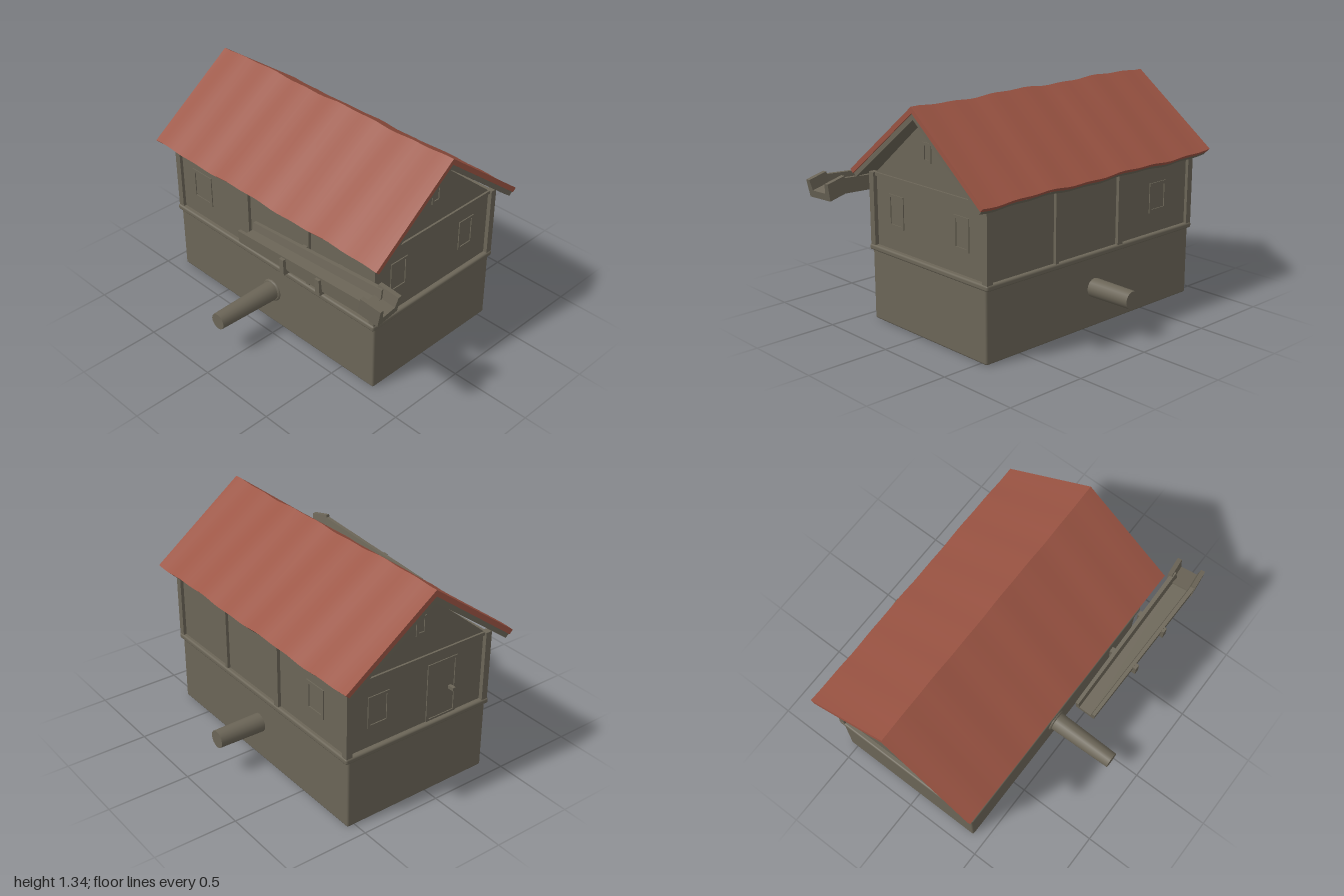
import * as THREE from 'three';
import { toCreasedNormals } from 'three/addons/utils/BufferGeometryUtils.js';
import { RoundedBoxGeometry } from 'three/addons/geometries/RoundedBoxGeometry.js';

const timber = new THREE.MeshStandardMaterial({ color: 0x6b6557 });
timber.name = 'weathered timber';
const tile = new THREE.MeshStandardMaterial({ color: 0x9b5443 });
tile.name = 'red roof';

const CX = -0.08, CZ = -0.065; // middle of the house

function add(parent, name, geometry, material, x = 0, y = 0, z = 0) {
  const mesh = new THREE.Mesh(geometry, material);
  mesh.name = name;
  mesh.position.set(x, y, z);
  parent.add(mesh);
  return mesh;
}

// Box given by its limits
function block(parent, name, x0, x1, y0, y1, z0, z1, radius = 0) {
  const s = [x1 - x0, y1 - y0, z1 - z0];
  const g = radius ? new RoundedBoxGeometry(...s, 2, radius) : new THREE.BoxGeometry(...s);
  return add(parent, name, g, timber, (x0 + x1) / 2, (y0 + y1) / 2, (z0 + z1) / 2);
}

// Profile of [depth, height] points, extruded along x and centred
function alongX(points, length, steps = 1) {
  const shape = new THREE.Shape(points.map(p => new THREE.Vector2(...p)));
  const g = new THREE.ExtrudeGeometry(shape, { depth: length, steps, bevelEnabled: false });
  return g.translate(0, 0, -length / 2).rotateY(Math.PI / 2);
}

// Gentle hand-made unevenness
function wobble(g, amount) {
  const p = g.attributes.position;
  for (let i = 0; i < p.count; i++) {
    const x = p.getX(i), y = p.getY(i), z = p.getZ(i);
    p.setY(i, y + amount * (Math.sin(x * 9 + z * 5) * 0.6 + Math.sin(x * 23 + z * 3) * 0.4));
    p.setX(i, x + amount * Math.sin(y * 14 + z * 9) * 0.6);
  }
  return toCreasedNormals(g, 0.5);
}

// Chevron between an outer and an inner roof line
const chevron = (w1, e1, r1, w2, e2, r2) =>
  [[-w1, e1], [-w2, e2], [0, r2], [w2, e2], [w1, e1], [0, r1]];

// Thin picture frame facing +z, with a sunken-looking pane line
function frame(w, h, bar) {
  const s = new THREE.Shape();
  s.moveTo(-w / 2, -h / 2).lineTo(w / 2, -h / 2).lineTo(w / 2, h / 2).lineTo(-w / 2, h / 2).closePath();
  const a = w / 2 - bar, b = h / 2 - bar;
  const hole = new THREE.Path();
  hole.moveTo(-a, -b).lineTo(-a, b).lineTo(a, b).lineTo(a, -b).closePath();
  s.holes.push(hole);
  return new THREE.ExtrudeGeometry(s, { depth: 0.008, bevelEnabled: false });
}

function buildHouse() {
  const house = new THREE.Group();
  house.name = 'house';

  // Ground floor, sill band and upper floor
  block(house, 'lowerWalls', -0.91, 0.75, 0, 0.44, -0.55, 0.42, 0.012);
  block(house, 'sillBand', -0.92, 0.76, 0.42, 0.455, -0.57, 0.44, 0.012);
  block(house, 'upperWalls', -0.89, 0.73, 0.44, 0.885, -0.545, 0.41);
  add(house, 'gableWalls', alongX([[-0.475, 0.87], [0.475, 0.87], [0, 1.265]], 1.62), timber, CX, 0, CZ);

  // Corner posts, intermediate posts and top beams
  for (const x of [-0.895, 0.735])
    for (const z of [-0.545, 0.41])
      block(house, 'cornerPost', x - 0.02, x + 0.02, 0.44, 0.885, z - 0.02, z + 0.02);
  for (const z of [-0.545, 0.41]) {
    block(house, 'widePost', -0.295, -0.255, 0.44, 0.885, z - 0.02, z + 0.02);
    block(house, 'thinPost', 0.222, 0.248, 0.44, 0.885, z - 0.018, z + 0.018);
  }
  for (const x of [-0.89, 0.73])
    block(house, 'gableBeam', x - 0.012, x + 0.012, 0.865, 0.885, -0.545, 0.41);

  // Windows on the long sides
  add(house, 'frontWindow', frame(0.17, 0.2, 0.02), timber, -0.69, 0.67, 0.408);
  add(house, 'backWindow', frame(0.15, 0.18, 0.02), timber, -0.62, 0.67, -0.543).rotation.y = Math.PI;

  // Windows and door on the gable ends
  const ends = [
    [0.728, Math.PI / 2, [[0.215, 0.685, 0.13, 0.19], [-0.34, 0.685, 0.12, 0.19], [CZ, 1.075, 0.07, 0.11]]],
    [-0.888, -Math.PI / 2, [[-0.34, 0.67, 0.14, 0.19], [CZ, 1.075, 0.07, 0.11], [0.1, 0.63, 0.21, 0.36]]],
  ];
  for (const [x, turn, list] of ends)
    for (const [z, y, w, h] of list)
      add(house, h > 0.3 ? 'doorFrame' : 'endWindow', frame(w, h, 0.016), timber, x, y, z).rotation.y = turn;
  block(house, 'doorHandle', -0.93, -0.89, 0.61, 0.63, 0.15, 0.17);
  return house;
}

function buildRoof() {
  const roof = new THREE.Group();
  roof.name = 'roof';
  const cover = chevron(0.567, 0.905, 1.333, 0.545, 0.884, 1.297);
  const lining = chevron(0.545, 0.884, 1.297, 0.525, 0.865, 1.26);
  add(roof, 'roofCover', wobble(alongX(cover, 1.83, 36), 0.008), tile, CX, 0, CZ);
  add(roof, 'roofLining', wobble(alongX(lining, 1.815, 36), 0.008), timber, CX, 0, CZ);
  return roof;
}

// Log axle running through the ground floor
function buildAxle() {
  const axle = new THREE.Group();
  axle.name = 'axle';
  const front = new THREE.CylinderGeometry(0.05, 0.06, 0.44, 16).rotateX(Math.PI / 2);
  const back = new THREE.CylinderGeometry(0.057, 0.053, 0.32, 16).rotateX(Math.PI / 2);
  add(axle, 'frontLog', front, timber, CX, 0.236, 0.62);
  add(axle, 'backLog', back, timber, CX, 0.236, -0.68);
  add(axle, 'collar', new THREE.TorusGeometry(0.06, 0.012, 8, 16), timber, CX, 0.236, 0.42);
  return axle;
}

// Sloping water trough with brackets and a spout
function buildTrough() {
  const trough = new THREE.Group();
  trough.name = 'trough';
  trough.position.set(0.42, 0.775, 0.597);
  trough.rotation.z = 0.052;
  const channel = [[-0.07, -0.04], [0.07, -0.04], [0.075, 0.045], [0.053, 0.045],
    [0.043, -0.005], [-0.043, -0.005], [-0.053, 0.045], [-0.075, 0.045]];
  const body = alongX(channel, 0.98);
  const p = body.attributes.position;
  for (let i = 0; i < p.count; i++) { // widens towards the spout
    const k = 1 + 0.2 * p.getX(i);
    p.setY(i, p.getY(i) * k);
    p.setZ(i, p.getZ(i) * k);
  }
  body.computeVertexNormals();
  add(trough, 'channel', body, timber);
  const spout = add(trough, 'spout', alongX(channel, 0.13), timber, 0.515, -0.005, -0.01);
  spout.scale.set(1, 1.25, 1.2);
  spout.rotation.set(0, 0.12, -0.25);
  for (const x of [-0.11, 0.165]) {
    block(trough, 'bracketBase', x - 0.016, x + 0.016, -0.062, -0.036, -0.09, 0.09);
    for (const z of [-0.082, 0.082])
      block(trough, 'bracketArm', x - 0.016, x + 0.016, -0.062, 0.035, z - 0.01, z + 0.01);
  }
  return trough;
}

export function createModel() {
  const model = new THREE.Group();
  model.name = 'waterMill';
  model.add(buildHouse(), buildRoof(), buildAxle(), buildTrough());
  return model;
}
